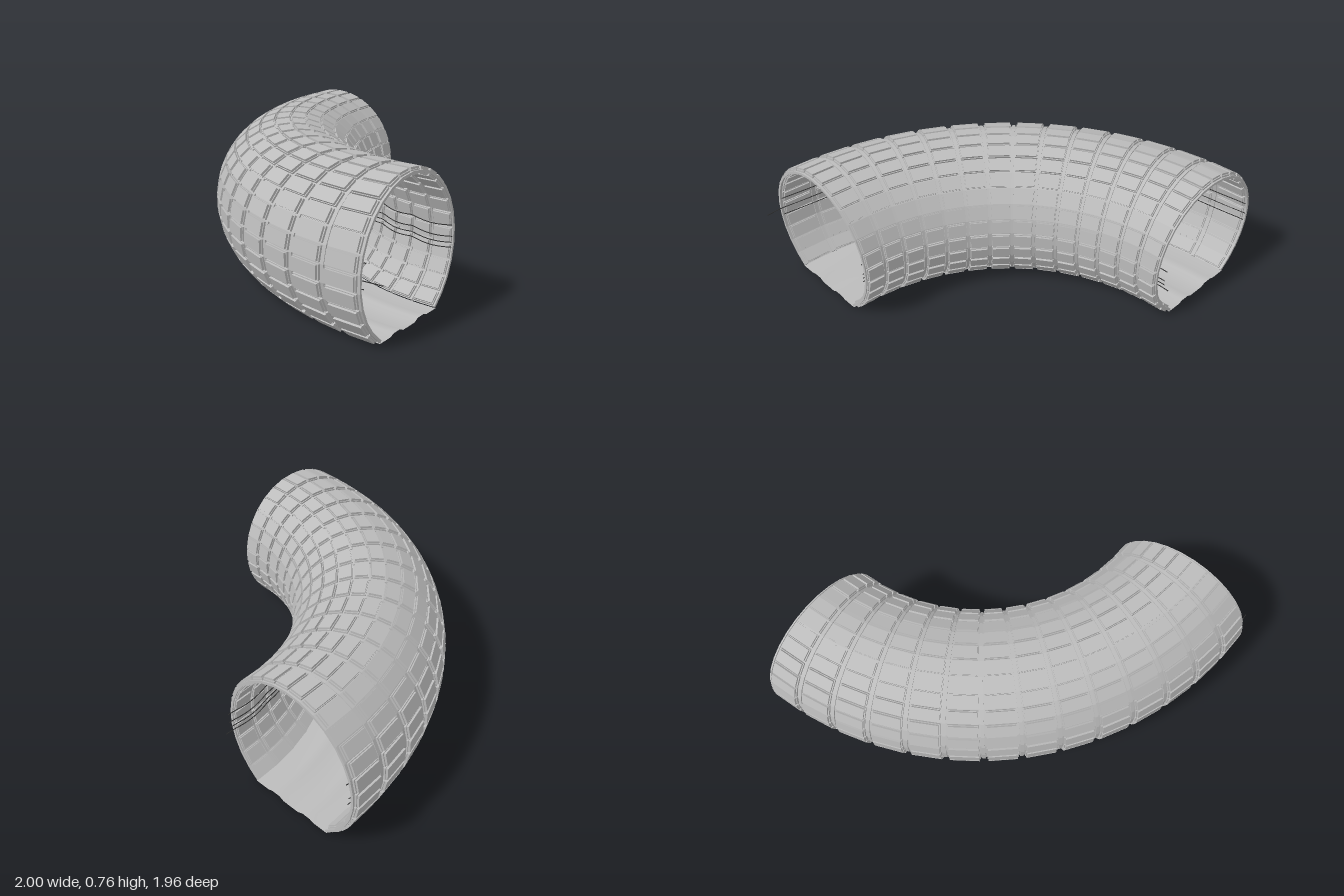
import * as THREE from 'three';

// Quarter bend of a tunnel: sweep angle t, section angle a, section radius r
const BEND = 1.475, CX = 0.9, CZ = -0.92, CY = 0.347;
const COLS = 14, ROWS = 24;
const DT = Math.PI / 2 / COLS, DA = THREE.MathUtils.degToRad(12);
const A0 = THREE.MathUtils.degToRad(-54);

function onBend(t, offset, y) {
  const rho = BEND + offset;
  return [CX - rho * Math.cos(t), y, CZ + rho * Math.sin(t)];
}
const P = (t, a, r) => onBend(t, r * Math.cos(a), CY + r * Math.sin(a));

function quad(list, a, b, c, d) {
  list.push(...a, ...b, ...c, ...a, ...c, ...d);
}

// Box in (t, a, r) space
function bentBox(list, t0, t1, a0, a1, r0, r1) {
  const corners = [[t0, a0], [t1, a0], [t1, a1], [t0, a1]];
  const [A, B, C, D] = corners.map(([t, a]) => P(t, a, r0));
  const [E, F, G, H] = corners.map(([t, a]) => P(t, a, r1));
  quad(list, E, F, G, H);
  quad(list, D, C, B, A);
  quad(list, A, B, F, E);
  quad(list, B, C, G, F);
  quad(list, C, D, H, G);
  quad(list, D, A, E, H);
}

function meshOf(list, material, name) {
  const g = new THREE.BufferGeometry();
  g.setAttribute('position', new THREE.Float32BufferAttribute(list, 3));
  g.computeVertexNormals();
  const m = new THREE.Mesh(g, material);
  m.name = name;
  return m;
}

// Curve running along the bend at a fixed section offset, sagging between seams
class CableCurve extends THREE.Curve {
  constructor(offset, y, t0, t1) {
    super();
    Object.assign(this, { offset, y, t0, t1 });
  }
  getPoint(u, target = new THREE.Vector3()) {
    const t = this.t0 + (this.t1 - this.t0) * u;
    const inside = t > 0 && t < Math.PI / 2;
    const sag = inside ? 0.012 * Math.abs(Math.sin(t / DT * Math.PI / 2)) : 0;
    return target.set(...onBend(t, this.offset, this.y - sag));
  }
}

export function createModel() {
  const group = new THREE.Group();
  const mat = (name, color) => {
    const m = new THREE.MeshStandardMaterial({ color, side: THREE.DoubleSide });
    m.name = name;
    return m;
  };
  const steelGrey = mat('steel grey', 0xbcbcbc);
  const cableDark = mat('cable dark', 0x303030);

  const shell = [], panels = [], frames = [], ribs = [];
  for (let i = 0; i < COLS; i++) {
    for (let j = 0; j < ROWS; j++) {
      const t = i * DT, a = A0 + j * DA;
      // Thin wall behind the panels
      quad(shell, P(t, a, 0.404), P(t + DT, a, 0.404), P(t + DT, a + DA, 0.404), P(t, a + DA, 0.404));
      // Stepped frame, then the panel standing proud of it inside and out
      bentBox(frames, t + DT * 0.09, t + DT * 0.91, a + DA * 0.06, a + DA * 0.94, 0.394, 0.414);
      bentBox(panels, t + DT * 0.12, t + DT * 0.88, a + DA * 0.11, a + DA * 0.89, 0.386, 0.425);
    }
  }
  // Ring ribs on the seams
  for (let i = 0; i <= COLS; i++) {
    const t0 = Math.max(0, i * DT - 0.005), t1 = Math.min(Math.PI / 2, i * DT + 0.005);
    for (let j = 0; j < ROWS; j++) {
      bentBox(ribs, t0, t1, A0 + j * DA, A0 + (j + 1) * DA, 0.397, 0.411);
    }
  }
  group.add(
    meshOf(shell, steelGrey, 'tunnelShell'),
    meshOf(panels, steelGrey, 'wallPanels'),
    meshOf(frames, steelGrey, 'panelFrames'),
    meshOf(ribs, steelGrey, 'seamRibs'),
  );

  // Smooth floor swept from a shallow profile (offset from centre line, height)
  const profile = [[-0.245, 0.012], [-0.16, 0.012], [-0.13, 0.022], [-0.08, 0.022], [-0.05, 0.008],
    [0.05, 0.008], [0.08, 0.022], [0.13, 0.022], [0.16, 0.012], [0.245, 0.012]];
  const steps = 48, n = profile.length, pos = [], index = [];
  for (let i = 0; i <= steps; i++) {
    for (const [o, y] of profile) pos.push(...onBend(i / steps * Math.PI / 2, o, y));
  }
  for (let i = 0; i < steps; i++) {
    for (let k = 0; k < n - 1; k++) {
      const a = i * n + k, b = a + n;
      index.push(a, b, a + 1, b, b + 1, a + 1);
    }
  }
  const floorGeo = new THREE.BufferGeometry();
  floorGeo.setAttribute('position', new THREE.Float32BufferAttribute(pos, 3));
  floorGeo.setIndex(index);
  floorGeo.computeVertexNormals();
  const floor = new THREE.Mesh(floorGeo, steelGrey);
  floor.name = 'floor';
  group.add(floor);

  // Sagging cables along both inner walls, with short loose ends
  const quarter = Math.PI / 2;
  const cables = [
    [0.368, 0.435, 0, quarter], [0.384, 0.36, 0, quarter + 0.053], [0.378, 0.318, 0, quarter],
    [-0.378, 0.405, -0.035, quarter], [-0.384, 0.345, -0.03, quarter],
    [-0.38, 0.315, -0.03, quarter], [-0.378, 0.29, -0.055, quarter],
  ];
  for (const [offset, y, t0, t1] of cables) {
    const curve = new CableCurve(offset, y, t0, t1);
    const cable = new THREE.Mesh(new THREE.TubeGeometry(curve, 84, 0.0025, 5), cableDark);
    cable.name = 'wallCable';
    group.add(cable);
  }
  return group;
}
